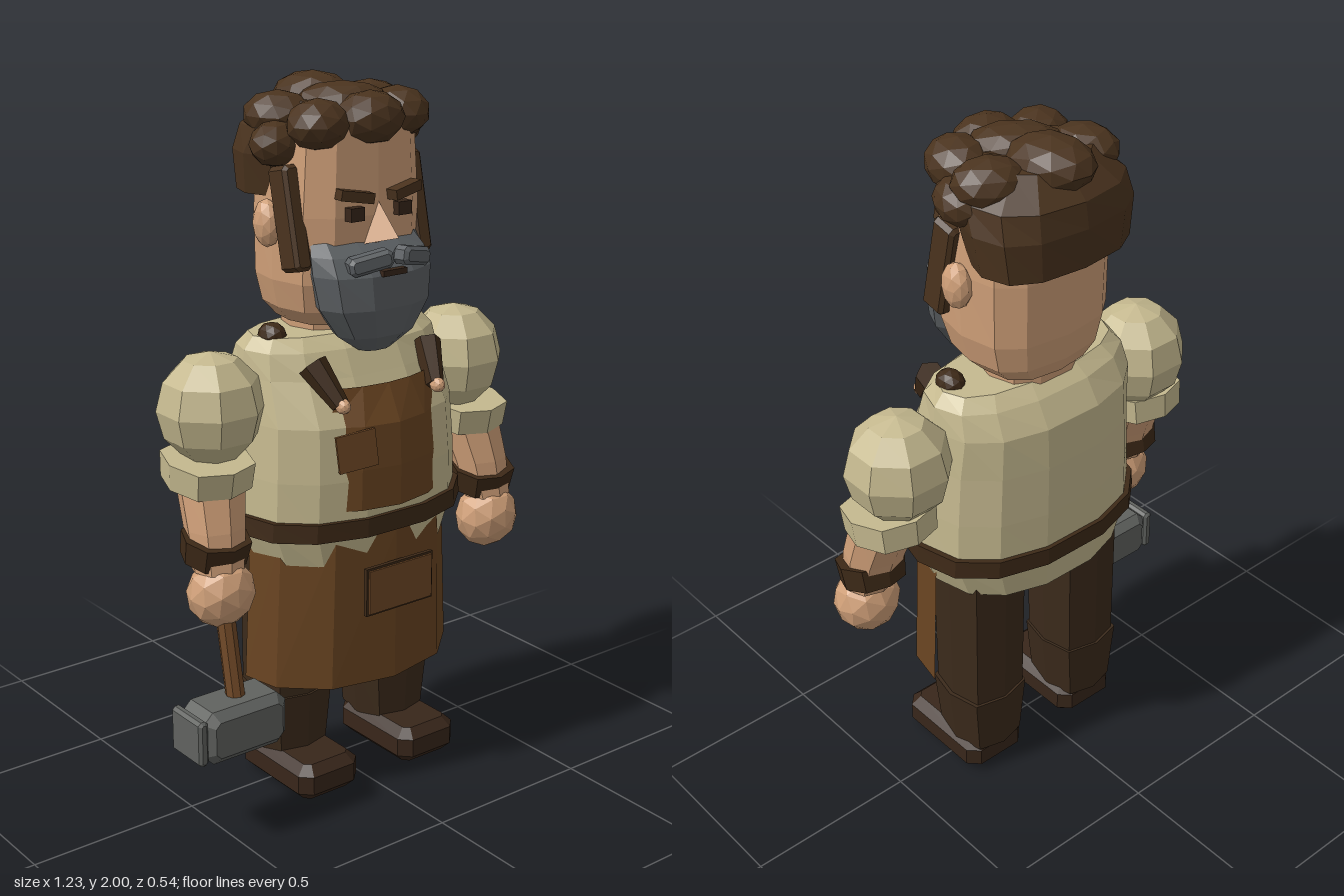
import * as THREE from 'three';

const mat = (name, color, side = THREE.FrontSide) => {
  const m = new THREE.MeshStandardMaterial({ color, side });
  m.name = name;
  return m;
};

// Unshared vertices give every face its own flat normal
const flat = (g) => {
  const f = g.index ? g.toNonIndexed() : g;
  f.computeVertexNormals();
  return f;
};

const fromTriangles = (p) => {
  const g = new THREE.BufferGeometry();
  g.setAttribute('position', new THREE.Float32BufferAttribute(p.flat(), 3));
  g.computeVertexNormals();
  return g;
};

// Closed body through rings [y, rx, rz, cx, cz]; e < 1 squares the outline
function loft(rings, n = 8, e = 0.8) {
  const pw = (v) => Math.sign(v) * Math.abs(v) ** e;
  const P = rings.map(([y, rx, rz, cx = 0, cz = 0]) => Array.from({ length: n }, (_, i) => {
    const a = (i / n) * Math.PI * 2;
    return [cx + rx * pw(Math.cos(a)), y, cz + rz * pw(Math.sin(a))];
  }));
  const mid = ([y, , , cx = 0, cz = 0]) => [cx, y, cz];
  const t = [], last = rings.length - 1;
  for (let i = 0; i < n; i++) {
    const j = (i + 1) % n;
    for (let k = 0; k < last; k++) {
      t.push(P[k][i], P[k + 1][i], P[k + 1][j], P[k][i], P[k + 1][j], P[k][j]);
    }
    t.push(mid(rings[0]), P[0][i], P[0][j], mid(rings[last]), P[last][j], P[last][i]);
  }
  return fromTriangles(t);
}

// Open cloth panel; rows run upwards, points run from -x to +x
function sheet(rows) {
  const t = [];
  for (let k = 0; k < rows.length - 1; k++) {
    for (let i = 0; i < rows[k].length - 1; i++) {
      const a = rows[k][i], b = rows[k][i + 1], c = rows[k + 1][i + 1], d = rows[k + 1][i];
      t.push(a, b, c, a, c, d);
    }
  }
  return fromTriangles(t);
}

// Box with every edge cut by b
function chamfer(w, h, d, b) {
  const x = w / 2 - b, y = h / 2 - b, c = Math.min(b, x, y) * 0.6;
  const s = new THREE.Shape([[x - c, -y], [x, c - y], [x, y - c], [x - c, y], [c - x, y], [-x, y - c], [-x, c - y], [c - x, -y]]
    .map((p) => new THREE.Vector2(...p)));
  return flat(new THREE.ExtrudeGeometry(s, { depth: d - 2 * b, bevelSize: b, bevelThickness: b, bevelSegments: 1 })
    .translate(0, 0, b - d / 2));
}

const box = (w, h, d) => new THREE.BoxGeometry(w, h, d);
const lump = () => flat(new THREE.IcosahedronGeometry(1, 1));

// Tapered rod between two points
function rod(a, b, ra, rb, n = 6) {
  const A = new THREE.Vector3(...a), d = new THREE.Vector3(...b).sub(A);
  const g = new THREE.CylinderGeometry(rb, ra, d.length(), n).translate(0, d.length() / 2, 0);
  g.applyQuaternion(new THREE.Quaternion().setFromUnitVectors(new THREE.Vector3(0, 1, 0), d.normalize()));
  return flat(g.translate(...a));
}

export function createModel() {
  const skin = mat('skin', 0xcf9f78), shirt = mat('shirt', 0xc5b98f);
  const apron = mat('apron leather', 0x694421, THREE.DoubleSide), pouch = mat('patch leather', 0x6f4826);
  const trousers = mat('trousers', 0x3b2a1b), hair = mat('hair', 0x4a331e);
  const leather = mat('dark leather', 0x3d2917), beardGrey = mat('beard grey', 0x5c6063);
  const iron = mat('iron', 0x60625f), dark = mat('boots', 0x38261a);

  const root = new THREE.Group();
  const body = new THREE.Group();
  body.name = 'blacksmith';
  body.position.x = 0.035;
  root.add(body);
  const add = (name, g, m, p = [0, 0, 0], r = [0, 0, 0], s = [1, 1, 1]) => {
    const mesh = new THREE.Mesh(g, m);
    mesh.name = name;
    mesh.position.set(...p);
    mesh.rotation.set(...r);
    mesh.scale.set(...s);
    body.add(mesh);
    return mesh;
  };

  // Torso and belt
  add('shirt', loft([[0.69, 0.3, 0.225], [0.8, 0.345, 0.24], [0.95, 0.34, 0.242], [1.1, 0.33, 0.236, 0, -0.005],
    [1.22, 0.32, 0.2, 0, -0.033], [1.29, 0.31, 0.16, 0, -0.03], [1.325, 0.28, 0.12, 0, -0.03]], 14, 0.85), shirt);
  add('belt', loft([[0.787, 0.365, 0.253], [0.84, 0.36, 0.253]], 14, 0.85), leather);

  // Apron: skirt and bib
  const skirtRow = (y, w) => [[-1, -0.015], [-0.93, 0.1], [-0.58, 0.205], [0, 0.245], [0.58, 0.205], [0.93, 0.1], [1, -0.015]]
    .map(([x, z]) => [x * w, y, z]);
  add('apronSkirt', sheet([skirtRow(0.34, 0.333), skirtRow(0.79, 0.31)]), apron);
  const bibRow = ([y, w, zc, ze]) => [-1, -0.55, 0, 0.55, 1].map((t) => [t * w, y, zc + (ze - zc) * t * t]);
  add('apronBib', sheet([[0.865, 0.213, 0.262, 0.185], [0.98, 0.21, 0.262, 0.185], [1.1, 0.19, 0.255, 0.185],
    [1.2, 0.15, 0.205, 0.175]].map(bibRow)), apron);
  add('pocketRim', box(0.235, 0.14, 0.012), leather, [0, 0.63, 0.256]);
  add('pocket', box(0.222, 0.127, 0.014), pouch, [0, 0.63, 0.261]);
  add('bibPatch', box(0.115, 0.105, 0.009), pouch, [-0.135, 1.04, 0.238], [0, -0.25, 0.12]);

  for (const s of [-1, 1]) {
    // Apron straps with pegs
    add('strap', rod([s * 0.165, 1.165, 0.205], [s * 0.198, 1.265, 0.125], 0.025, 0.042), leather);
    add('strapPeg', lump(), skin, [s * 0.165, 1.165, 0.215], [0, 0, 0], [0.02, 0.022, 0.025]);
    add('shoulderStrap', lump(), leather, [s * 0.235, 1.325, -0.005], [0, 0, 0], [0.037, 0.036, 0.045]);

    // Legs and boots
    add('leg', loft([[0.2, 0.105, 0.112, s * 0.18, -0.035], [0.75, 0.11, 0.118, s * 0.175, -0.035]], 8, 0.6), trousers);
    add('trouserCuff', loft([[0.09, 0.096, 0.11, s * 0.181, -0.035], [0.275, 0.115, 0.12, s * 0.181, -0.035]], 8, 0.6), trousers);
    add('boot', chamfer(0.207, 0.325, 0.108, 0.027), dark, [s * 0.182, 0.054, 0.038], [-Math.PI / 2, 0, 0]);

    // Sleeve, arm and hand
    add('sleeve', flat(new THREE.SphereGeometry(1, 8, 6)), shirt, [s * 0.427, 1.155, -0.02], [0, Math.PI / 8, 0], [0.152, 0.155, 0.148]);
    add('sleeveCuff', loft([[-0.037, 0.115, 0.12], [0.037, 0.12, 0.125]], 8, 0.8), shirt, [s * 0.455, 0.99, -0.005], [0.13, 0, 0]);
    add('forearm', loft([[0.74, 0.07, 0.07, s * 0.482, 0.075], [0.85, 0.082, 0.08, s * 0.472, 0.05],
      [1.0, 0.097, 0.09, s * 0.452, 0.0]], 8, 0.85), skin);
    add('wristband', loft([[-0.034, 0.09, 0.082], [0.034, 0.097, 0.087]], 8, 0.85), leather, [s * 0.478, 0.793, 0.06], [0.22, 0, s * 0.04]);
    add('hand', lump(), skin, [s * 0.48, 0.672, 0.088], [0.2, 0, 0], [0.097, 0.098, 0.088]);

    // Ear and sideburn
    add('ear', lump(), skin, [s * 0.228, 1.625, -0.033], [0, 0, 0], [0.035, 0.066, 0.047]);
    add('sideburn', chamfer(0.055, 0.28, 0.08, 0.01), hair, [s * 0.207, 1.645, 0.042], [-0.22, 0, 0]);

    // Eyes, brows and moustache
    add('eye', box(0.045, 0.036, 0.035), dark, [s * 0.08, 1.66, 0.152]);
    add('brow', box(0.1, 0.028, 0.04), hair, [s * 0.083, 1.708, 0.158], [0, s * 0.15, s * 0.17]);
    add('moustache', chamfer(0.125, 0.05, 0.05, 0.01), beardGrey, [s * 0.072, 1.54, 0.208], [0, s * 0.3, -s * 0.2]);
  }

  // Neck and head
  add('neck', loft([[1.28, 0.14, 0.11, 0, -0.05], [1.4, 0.14, 0.12, 0, -0.05]], 10), skin);
  add('head', loft([[1.345, 0.15, 0.13, 0, -0.045], [1.39, 0.195, 0.16, 0, -0.035], [1.47, 0.215, 0.178, 0, -0.03],
    [1.65, 0.217, 0.184, 0, -0.028], [1.88, 0.2, 0.175, 0, -0.025]], 12, 0.72), skin);

  // Nose wedge
  const tip = [0, 1.6, 0.24], top = [0, 1.685, 0.155];
  const nl = [-0.045, 1.575, 0.15], nr = [0.045, 1.575, 0.15];
  add('nose', fromTriangles([top, nl, tip, top, tip, nr, nl, nr, tip]), skin);

  // Beard and mouth
  add('beard', loft([[1.283, 0.05, 0.035, 0, 0.135], [1.33, 0.12, 0.075, 0, 0.135], [1.41, 0.175, 0.1, 0, 0.128],
    [1.5, 0.19, 0.105, 0, 0.118], [1.55, 0.187, 0.085, 0, 0.105], [1.585, 0.178, 0.05, 0, 0.09]], 10, 0.85), beardGrey);
  add('mouth', box(0.08, 0.016, 0.02), dark, [0, 1.507, 0.218]);

  // Hair cap and curls
  add('hairCap', loft([[1.69, 0.228, 0.132, 0, -0.133], [1.8, 0.243, 0.155, 0, -0.117], [1.87, 0.232, 0.18, 0, -0.08],
    [1.94, 0.15, 0.12, 0, -0.07]], 12, 0.8), hair);
  const curls = [
    [0, 1.9, 0.115, 0.1, 0.072, 0.085], [-0.14, 1.89, 0.075, 0.095, 0.068, 0.085], [0.135, 1.9, 0.065, 0.1, 0.07, 0.085],
    [-0.205, 1.835, -0.02, 0.068, 0.062, 0.09], [0.2, 1.85, -0.02, 0.068, 0.062, 0.09],
    [-0.155, 1.9, -0.08, 0.085, 0.065, 0.1], [0.155, 1.905, -0.08, 0.085, 0.065, 0.1],
    [0, 1.93, -0.13, 0.125, 0.07, 0.1], [0, 1.93, 0.0, 0.13, 0.055, 0.09],
  ];
  curls.forEach(([x, y, z, ...s], i) => add('curl', lump(), hair, [x, y, z], [0, i * 0.7, 0], s));

  // Hammer in the right hand
  add('hammerHandle', rod([-0.49, 0.38, 0.165], [-0.484, 0.68, 0.1], 0.027, 0.027, 8), pouch);
  add('hammerHead', chamfer(0.265, 0.152, 0.152, 0.024), iron, [-0.498, 0.325, 0.166]);
  add('hammerFace', chamfer(0.03, 0.13, 0.14, 0.008), iron, [-0.64, 0.325, 0.166]);
  return root;
}
